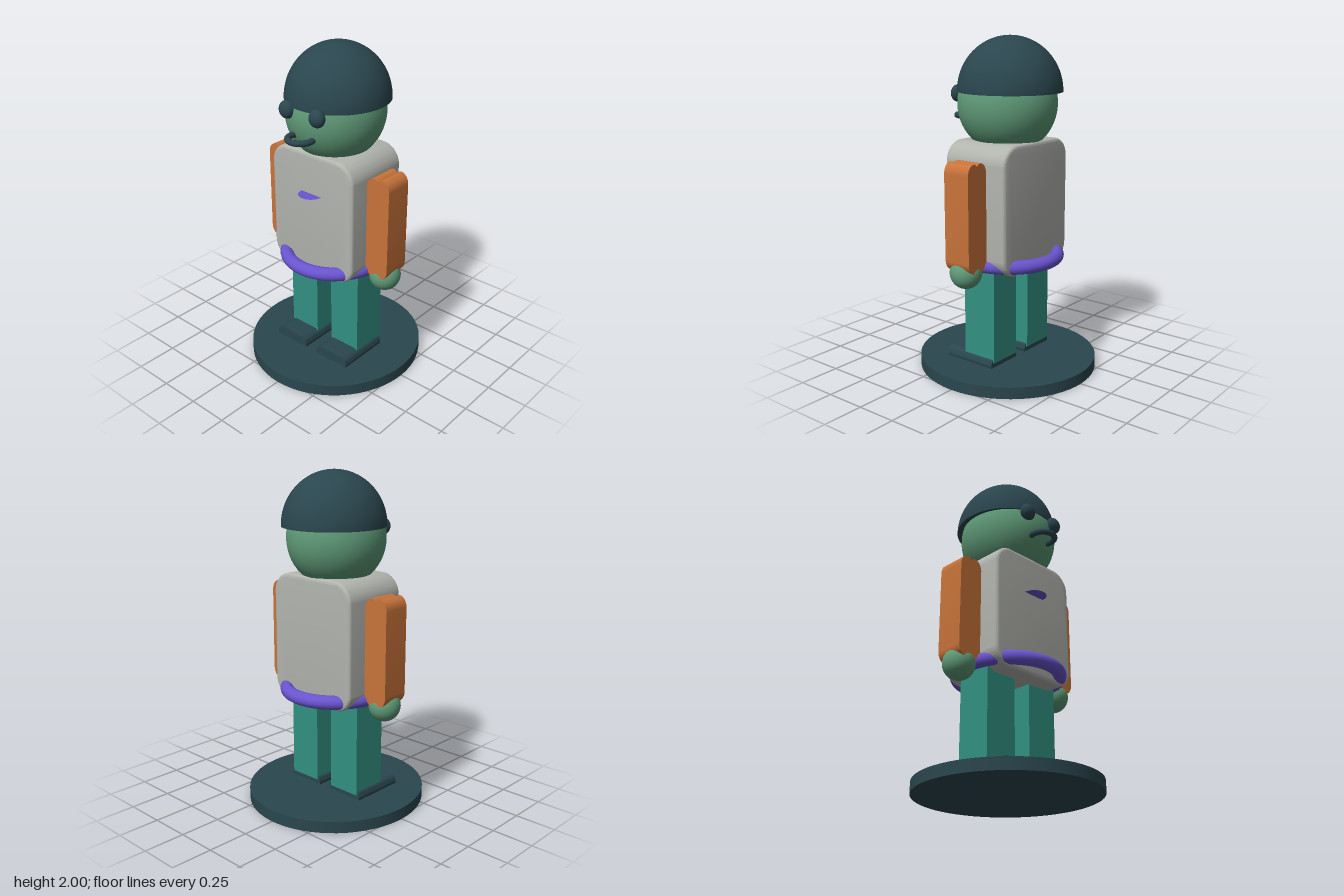
import * as THREE from 'three';
import { toCreasedNormals } from 'three/addons/utils/BufferGeometryUtils.js';

const mat = (name, color, side = THREE.FrontSide) => {
  const m = new THREE.MeshStandardMaterial({ color, side });
  m.name = name;
  return m;
};

// Rounded rectangle centred on the origin; rt and rb are top and bottom corner radii
function roundedRect(w, h, rt, rb) {
  const x = w / 2, y = h / 2, s = new THREE.Shape();
  s.moveTo(-x + rb, -y);
  s.lineTo(x - rb, -y);
  s.absarc(x - rb, -y + rb, rb, -Math.PI / 2, 0);
  s.lineTo(x, y - rt);
  s.absarc(x - rt, y - rt, rt, 0, Math.PI / 2);
  s.lineTo(-x + rt, y);
  s.absarc(-x + rt, y - rt, rt, Math.PI / 2, Math.PI);
  s.lineTo(-x, -y + rb);
  s.absarc(-x + rb, -y + rb, rb, Math.PI, Math.PI * 1.5);
  return s;
}

// Sleeve outline: double-lobed at both ends
function armShape() {
  const w = 0.0775, e = 0.25, s = new THREE.Shape();
  s.moveTo(-w, -e);
  s.bezierCurveTo(-w, -0.30, -0.03, -0.335, 0, -0.298);
  s.bezierCurveTo(0.03, -0.335, w, -0.30, w, -e);
  s.lineTo(w, e);
  s.bezierCurveTo(w, 0.30, 0.03, 0.335, 0, 0.298);
  s.bezierCurveTo(-0.03, 0.335, -w, 0.30, -w, e);
  s.lineTo(-w, -e);
  return s;
}

// Extrusion along z, centred in depth, with smooth curves and sharp edges
function extrude(shape, depth, bevel = 0) {
  const g = new THREE.ExtrudeGeometry(shape, {
    depth: depth - 2 * bevel, curveSegments: 12, bevelEnabled: bevel > 0,
    bevelSize: bevel, bevelThickness: bevel, bevelSegments: 4,
  });
  g.translate(0, 0, -(depth - 2 * bevel) / 2);
  return toCreasedNormals(g, 0.6);
}

export function createModel() {
  const model = new THREE.Group();
  model.name = 'figurine';
  const dark = mat('dark slate', 0x2a464e);
  const skin = mat('green skin', 0x5f9b78);
  const grey = mat('grey shirt', 0xb2b4ae);
  const orange = mat('orange sleeve', 0xc8733a);
  const teal = mat('teal trousers', 0x329082);
  const purple = mat('purple trim', 0x6a54d0, THREE.DoubleSide);

  const add = (name, geometry, material, x = 0, y = 0, z = 0) => {
    const m = new THREE.Mesh(geometry, material);
    m.name = name;
    m.position.set(x, y, z);
    model.add(m);
    return m;
  };

  // Round stand
  add('stand', new THREE.CylinderGeometry(0.545, 0.545, 0.07, 64), dark, 0, 0.035).scale.x = 0.973;

  // Torso with soft corners, belt ring and small chest disc
  add('torso', extrude(roundedRect(0.57, 0.72, 0.1, 0.09), 0.435, 0.02), grey, 0, 1.023, 0.002);
  const belt = new THREE.TorusGeometry(0.305, 0.041, 16, 64).rotateX(Math.PI / 2);
  add('belt', belt, purple, 0, 0.7, 0.003).scale.x = 0.97;
  add('chestDisc', new THREE.CircleGeometry(0.075, 32).rotateX(-Math.PI / 2), purple, 0, 1.155, 0.22);

  // Head
  const ball = new THREE.SphereGeometry(1, 40, 28);
  add('head', ball, skin, 0, 1.61, 0.002).scale.set(0.288, 0.295, 0.297);

  // Helmet dome and its closed underside
  const dome = new THREE.SphereGeometry(1, 48, 20, 0, Math.PI * 2, 0, Math.PI / 2);
  add('helmet', dome, dark, 0, 1.68, -0.017).scale.set(0.304, 0.32, 0.311);
  const under = new THREE.CircleGeometry(1, 48).rotateX(Math.PI / 2);
  add('helmetUnderside', under, dark, 0, 1.68, -0.017).scale.set(0.304, 1, 0.311);

  // Mouth: horizontal arc standing out from the face
  const over = 0.4;
  const arc = new THREE.TorusGeometry(0.073, 0.018, 12, 32, Math.PI + 2 * over)
    .rotateZ(-over).rotateX(Math.PI / 2);
  add('mouth', arc, dark, 0, 1.52, 0.297);

  // Paired parts
  const legGeo = new THREE.BoxGeometry(0.21, 0.6, 0.222);
  const shoeGeo = extrude(roundedRect(0.24, 0.065, 0.045, 0.005), 0.34);
  const armGeo = extrude(armShape(), 0.175);
  for (const [side, s] of [['left', 1], ['right', -1]]) {
    add(side + 'Eye', ball, dark, s * 0.111, 1.66, 0.285).scale.set(0.05, 0.052, 0.039);
    add(side + 'Arm', armGeo, orange, s * 0.382, 1.0, 0.002);
    add(side + 'Hand', ball, skin, s * 0.383, 0.673, 0.003).scale.set(0.093, 0.095, 0.095);
    add(side + 'Leg', legGeo, teal, s * 0.163, 0.4, 0.003);
    add(side + 'Shoe', shoeGeo, dark, s * 0.163, 0.0985, 0.07);
  }
  return model;
}
